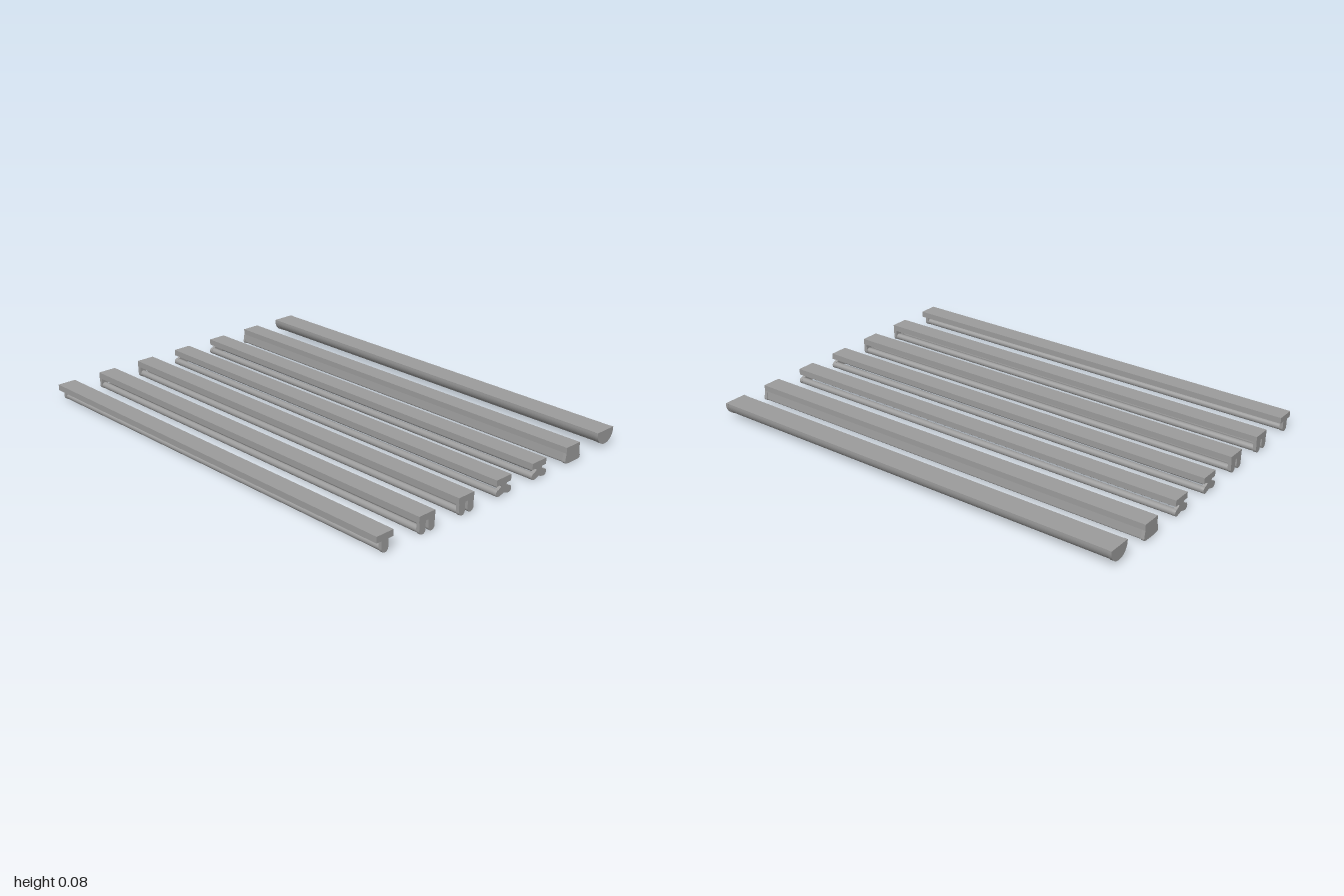
import * as THREE from 'three';

const CAP = 0.015; // thickness of the end sockets and caps

export function createModel() {
  const root = new THREE.Group();
  const grey = new THREE.MeshStandardMaterial({ color: 0x9c9c9c });
  grey.name = 'metal grey';

  const add = (group, geometry, name) => {
    const mesh = new THREE.Mesh(geometry, grey);
    mesh.name = name;
    group.add(mesh);
    return mesh;
  };

  // A cross-section drawn in (z, y), stretched along x
  const extrudeX = (shape, from, to) =>
    new THREE.ExtrudeGeometry(shape, { depth: to - from, bevelEnabled: false, curveSegments: 16 })
      .rotateY(Math.PI / 2).translate(from, 0, 0);

  const fixture = (name, z) => {
    const group = new THREE.Group();
    group.name = name;
    group.position.z = z;
    root.add(group);
    return group;
  };

  const batten = (group) =>
    add(group, new THREE.BoxGeometry(2, 0.027, 0.086).translate(0, 0.0665, 0), 'batten');

  const tube = (group, y, z, r) =>
    add(group, new THREE.CylinderGeometry(r, r, 2 - CAP, 20).rotateZ(Math.PI / 2).translate(0, y, z), 'lampTube');

  const endPair = (group, shape, name) => {
    add(group, extrudeX(shape, -1, -1 + CAP), name);
    add(group, extrudeX(shape, 1 - CAP, 1), name);
  };

  // Upright socket with a round foot
  const socketShape = (z) => {
    const s = new THREE.Shape();
    s.moveTo(z - 0.017, 0.054);
    s.lineTo(z - 0.017, 0.019);
    s.absarc(z, 0.019, 0.017, Math.PI, Math.PI * 2, false);
    s.lineTo(z + 0.017, 0.054);
    return s;
  };

  // Battens with one tube or two hanging tubes
  const hanging = (name, z, offsets) => {
    const g = fixture(name, z);
    batten(g);
    for (const o of offsets) {
      endPair(g, socketShape(o), 'socket');
      tube(g, 0.018, o, 0.0145);
    }
  };
  hanging('singleTubeLight', 0.663, [0]);
  hanging('twinTubeLightFront', 0.443, [-0.0245, 0.0245]);
  hanging('twinTubeLightRear', 0.225, [-0.0245, 0.0245]);

  // Battens with a winged socket holding two spread tubes
  const wing = new THREE.Shape();
  wing.moveTo(-0.018, 0.054);
  wing.lineTo(-0.015, 0.046);
  wing.quadraticCurveTo(-0.02, 0.042, -0.03, 0.037);
  wing.absarc(-0.031, 0.021, 0.015, Math.PI / 2, Math.PI * 1.5, false);
  wing.quadraticCurveTo(-0.015, 0.008, 0, 0.015);
  wing.quadraticCurveTo(0.015, 0.008, 0.031, 0.006);
  wing.absarc(0.031, 0.021, 0.015, -Math.PI / 2, Math.PI / 2, false);
  wing.quadraticCurveTo(0.02, 0.042, 0.015, 0.046);
  wing.lineTo(0.018, 0.054);
  for (const [name, z] of [['spreadTubeLightFront', 0.006], ['spreadTubeLightRear', -0.212]]) {
    const g = fixture(name, z);
    batten(g);
    endPair(g, wing, 'wingSocket');
    for (const o of [-0.031, 0.031]) tube(g, 0.021, o, 0.0145);
  }

  // Batten with a flared diffuser
  const flare = (grow) => {
    const s = new THREE.Shape();
    const w = 0.047 + grow;
    s.moveTo(-0.043, 0.054);
    s.lineTo(-w, 0.02);
    s.quadraticCurveTo(-w, 0.012 - grow, -w + 0.01, 0.011 - grow);
    s.quadraticCurveTo(0, 0.008 - grow, w - 0.01, 0.011 - grow);
    s.quadraticCurveTo(w, 0.012 - grow, w, 0.02);
    s.lineTo(0.043, 0.054);
    return s;
  };
  const flared = fixture('flaredLight', -0.432);
  batten(flared);
  add(flared, extrudeX(flare(0), -1 + CAP, 1 - CAP), 'diffuser');
  endPair(flared, flare(0.002), 'endCap');

  // Half-round light, flat on top
  const halfRound = (r) => {
    const s = new THREE.Shape();
    s.moveTo(-r, 0.08);
    s.lineTo(-r, 0.073);
    s.absarc(0, 0.073, r, Math.PI, Math.PI * 2, false);
    s.lineTo(r, 0.08);
    return s;
  };
  const round = fixture('halfRoundLight', -0.652);
  add(round, extrudeX(halfRound(0.052), -1 + CAP, 1 - CAP), 'diffuser');
  endPair(round, halfRound(0.054), 'endCap');

  // Smooth the curved diffusers while keeping their sharp edges is left to their fine facets
  return root;
}
